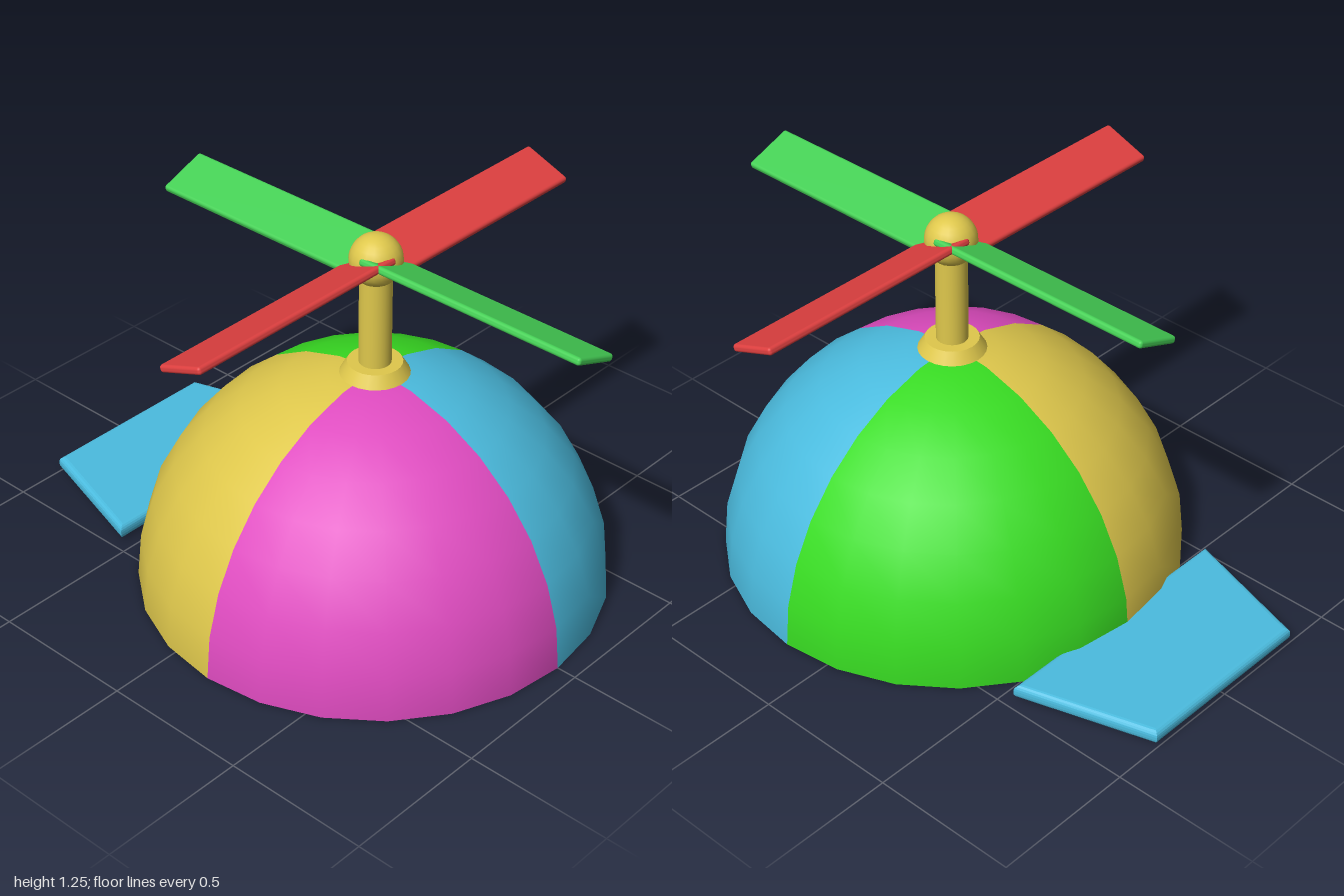
import * as THREE from 'three';
import { RoundedBoxGeometry } from 'three/addons/geometries/RoundedBoxGeometry.js';

const material = (name, color, side = THREE.FrontSide) => {
  const m = new THREE.MeshStandardMaterial({ color, side });
  m.name = name;
  return m;
};

export function createModel() {
  const group = new THREE.Group();
  const pink = material('pink', 0xdf4bc0, THREE.DoubleSide);
  const blue = material('blue', 0x4bbcdf, THREE.DoubleSide);
  const lime = material('lime', 0x38dc22, THREE.DoubleSide);
  const yellow = material('yellow', 0xdfc84c, THREE.DoubleSide);
  const red = material('red', 0xdf4040);
  const green = material('green', 0x45cf55);

  const add = (name, geometry, mat, x = 0, y = 0, z = 0, parent = group) => {
    const mesh = new THREE.Mesh(geometry, mat);
    mesh.name = name;
    mesh.position.set(x, y, z);
    parent.add(mesh);
    return mesh;
  };
  const cz = 0.163; // centre of the dome and propeller
  const quarter = Math.PI / 2;

  // Open dome of four coloured panels
  [['frontRightPanel', pink], ['frontLeftPanel', blue], ['backLeftPanel', lime], ['backRightPanel', yellow]]
    .forEach(([name, mat], i) => add(name,
      new THREE.SphereGeometry(0.77, 6, 8, i * quarter, quarter, 0, quarter), mat, 0, 0, cz));

  // Brim: bevelled trapezoid tucked into the back of the dome
  const outline = new THREE.Shape([[-0.47, 0.54], [0.47, 0.54], [0.33, 1], [-0.33, 1]]
    .map(([x, y]) => new THREE.Vector2(x, y)));
  const brim = new THREE.ExtrudeGeometry(outline, {
    depth: 0.01, bevelThickness: 0.02, bevelSize: 0.02, bevelOffset: -0.02, bevelSegments: 4,
  });
  brim.rotateX(-quarter);
  add('brim', brim, blue, 0, 0.03, 0);

  // Collar, stem and hub
  add('collar', new THREE.CylinderGeometry(0.088, 0.112, 0.04, 24), yellow, 0, 0.785, cz);
  add('stem', new THREE.CylinderGeometry(0.052, 0.052, 0.36, 24), yellow, 0, 0.96, cz);
  add('hub', new THREE.SphereGeometry(0.085, 20, 14), yellow, 0, 1.168, cz);

  // Propeller: two pairs of blades pitched in opposite senses
  const length = 0.835;
  const blade = new RoundedBoxGeometry(length, 0.025, 0.175, 3, 0.01);
  blade.translate(length / 2, 0, 0);
  const pitch = 0.36;
  [['leftBlade', red, 0, 1], ['backBlade', green, 1, -1], ['rightBlade', red, 2, 1], ['frontBlade', green, 3, -1]]
    .forEach(([name, mat, turn, sense]) => {
      const mesh = add(name, blade, mat, 0, 1.165, cz);
      mesh.rotation.order = 'YXZ';
      mesh.rotation.set(sense * pitch, turn * quarter, 0);
    });

  return group;
}
